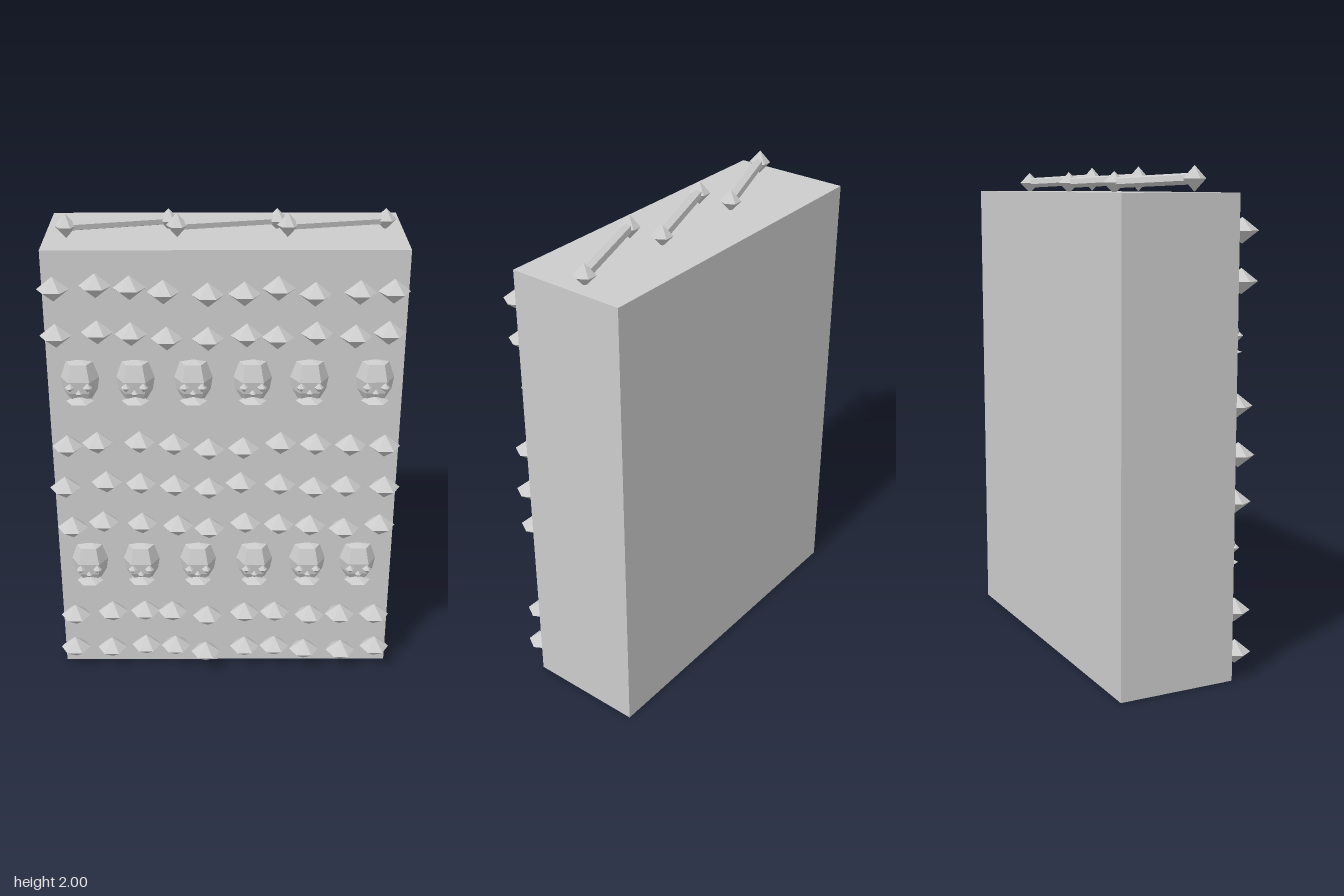
import * as THREE from 'three';

export function createModel() {
  const model = new THREE.Group();
  model.name = 'boneWall';

  const stone = new THREE.MeshStandardMaterial({ color: 0xcccccc, flatShading: true });
  stone.name = 'pale grey';

  function add(parent, name, geometry, x, y, z, sx = 1, sy = 1, sz = 1) {
    const mesh = new THREE.Mesh(geometry, stone);
    mesh.name = name;
    mesh.position.set(x, y, z);
    mesh.scale.set(sx, sy, sz);
    parent.add(mesh);
    return mesh;
  }

  // Six-sided double pyramid, used for knobs, eyes, noses and jaws
  const gem = new THREE.SphereGeometry(1, 6, 2);

  // Main block
  add(model, 'wallBlock', new THREE.BoxGeometry(1.41, 1.9, 0.49), -0.003, 0.95, -0.055);

  // Rows of knobs on the front: base height, x in hundredths, height offset in hundredths
  const knobRows = [
    [1.74, [-66, -50, -37, -24, -7, 7, 20, 34, 51, 64], [2, 3, 2, 1, 0, 0, 2, 0, 1, 1]],
    [1.56, [-66, -50, -37, -23, -7, 8, 20, 35, 50, 63], [1, 2, 1, 0, 0, 1, 0, 2, 1, 2]],
    [1.08, [-64, -52, -35, -21, -7, 7, 22, 36, 50, 64], [1, 2, 2, 2, 0, 0, 2, 2, 2, 1]],
    [0.9, [-66, -49, -35, -21, -7, 6, 22, 36, 49, 65], [0, 2, 1, 1, 0, 2, 1, 0, 1, 0]],
    [0.71, [-64, -51, -35, -20, -7, 8, 22, 35, 49, 64], [0, 2, 1, 1, 0, 2, 1, 1, 0, 1]],
    [0.27, [-65, -49, -35, -23, -8, 8, 21, 36, 49, 64], [0, 1, 1, 2, 0, 1, 1, 0, 1, 0]],
    [0.08, [-66, -50, -35, -22, -9, 8, 21, 34, 50, 65], [2, 1, 2, 3, 0, 2, 2, 1, 1, 2]],
  ];
  const knobDepth = [0.23, 0.22, 0.215, 0.235, 0.24, 0.23, 0.225, 0.235, 0.243, 0.23];
  knobRows.forEach(([y, xs, lifts], row) => {
    const group = new THREE.Group();
    group.name = `knobRow${row + 1}`;
    xs.forEach((x, i) => {
      add(group, 'knob', gem, x / 100, y + lifts[i] / 100, knobDepth[i], 0.063, 0.05, 0.063);
    });
    model.add(group);
  });

  // Faceted skulls in two rows
  const profile = [[0, -0.09], [0.05, -0.082], [0.077, -0.035], [0.085, 0.015], [0.062, 0.082], [0, 0.092]];
  const cranium = new THREE.LatheGeometry(
    profile.map(([r, y]) => new THREE.Vector2(r, y)), 6, Math.PI / 6);

  function addSkull(x, y) {
    const skull = new THREE.Group();
    skull.name = 'skull';
    skull.position.set(x, y, 0.175);
    add(skull, 'cranium', cranium, 0, 0, 0);
    for (const side of [-1, 1]) {
      add(skull, 'eye', gem, side * 0.035, -0.005, 0.075, 0.019, 0.019, 0.019);
    }
    add(skull, 'nose', gem, 0, -0.03, 0.075, 0.014, 0.016, 0.014);
    add(skull, 'jaw', gem, 0, -0.07, 0.055, 0.055, 0.018, 0.05);
    model.add(skull);
  }
  [-0.58, -0.36, -0.13, 0.105, 0.33, 0.59].forEach((x) => addSkull(x, 1.362));
  [-0.58, -0.36, -0.12, 0.12, 0.345, 0.56].forEach((x) => addSkull(x, 0.518));

  // Long bones lying across the top
  const shaft = new THREE.CylinderGeometry(0.022, 0.022, 1, 6);
  for (const [x, z] of [[-0.62, 0.045], [-0.19, 0.036], [0.24, 0.036]]) {
    const bone = new THREE.Group();
    bone.name = 'longBone';
    const start = new THREE.Vector3(x, 1.951, z);
    const end = new THREE.Vector3(x + 0.393, 1.936, -0.09);
    const along = end.clone().sub(start);
    const mid = start.clone().add(end).multiplyScalar(0.5);
    const rod = add(bone, 'boneShaft', shaft, mid.x, mid.y, mid.z, 1, along.length(), 1);
    rod.quaternion.setFromUnitVectors(new THREE.Vector3(0, 1, 0), along.normalize());
    add(bone, 'boneEnd', gem, start.x, start.y, start.z, 0.043, 0.049, 0.043);
    add(bone, 'boneEnd', gem, end.x, end.y, end.z, 0.043, 0.045, 0.043);
    model.add(bone);
  }

  return model;
}
